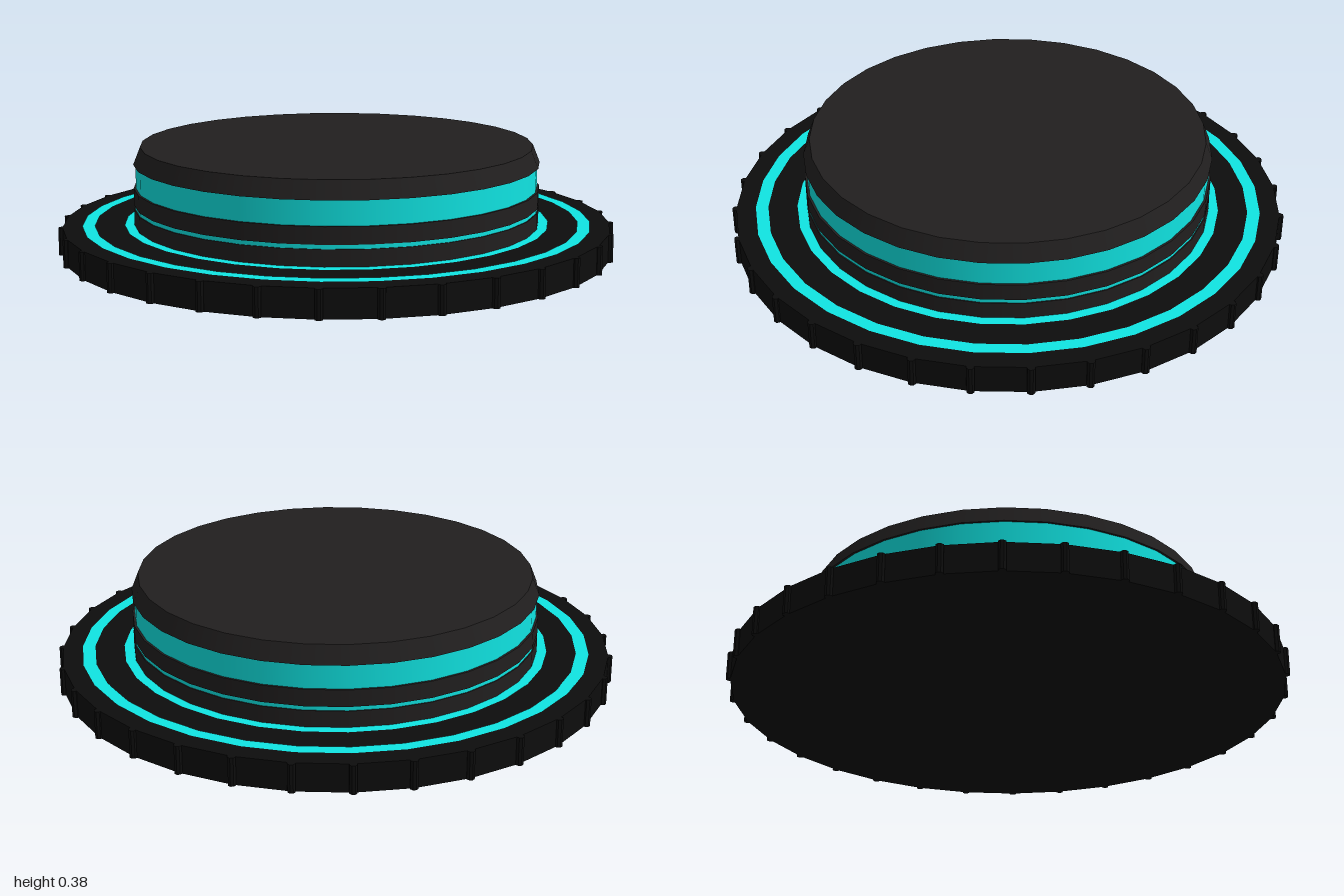
import * as THREE from 'three';

const SIDES = 32;

export function createModel() {
  const model = new THREE.Group();
  const paint = (color, extra = {}) => new THREE.MeshStandardMaterial({ color, ...extra });
  const black = paint(0x0d0d0d, { flatShading: true });
  const charcoal = paint(0x211f1f);
  const cyan = paint(0x10e4e2);
  const cyanFlat = paint(0x10e4e2, { side: THREE.DoubleSide });

  // Cylinder section between two heights
  function section(name, bottomRadius, topRadius, y0, y1, material) {
    const geometry = new THREE.CylinderGeometry(topRadius, bottomRadius, y1 - y0, SIDES);
    const mesh = new THREE.Mesh(geometry, material);
    mesh.name = name;
    mesh.position.y = (y0 + y1) / 2;
    model.add(mesh);
  }

  // Flat glowing ring lying on the base
  function ring(name, inner, outer) {
    const geometry = new THREE.RingGeometry(inner, outer, SIDES).rotateX(-Math.PI / 2);
    const mesh = new THREE.Mesh(geometry, cyanFlat);
    mesh.name = name;
    mesh.position.y = 0.102;
    model.add(mesh);
  }

  // Wide base plate and its inlaid rings
  section('basePlate', 0.985, 0.985, 0, 0.1, black);
  ring('outerRing', 0.87, 0.915);
  ring('innerRing', 0.73, 0.765);

  // Small ribs on each corner of the base rim
  const ribs = new THREE.Group();
  ribs.name = 'rimRibs';
  const ribGeometry = new THREE.CylinderGeometry(0.014, 0.014, 0.1, 8);
  for (let i = 0; i < SIDES; i++) {
    const angle = (i / SIDES) * Math.PI * 2;
    const rib = new THREE.Mesh(ribGeometry, black);
    rib.name = 'rimRib';
    rib.position.set(Math.sin(angle) * 0.986, 0.05, Math.cos(angle) * 0.986);
    ribs.add(rib);
  }
  model.add(ribs);

  // Drum: dark sections separated by cyan bands, with a bevelled cap
  section('lowerDrum', 0.73, 0.73, 0.1, 0.16, charcoal);
  section('thinLightBand', 0.726, 0.726, 0.16, 0.175, cyan);
  section('middleDrum', 0.73, 0.73, 0.175, 0.235, charcoal);
  section('wideLightBand', 0.722, 0.722, 0.235, 0.32, cyan);
  section('cap', 0.73, 0.705, 0.32, 0.383, charcoal);

  return model;
}
